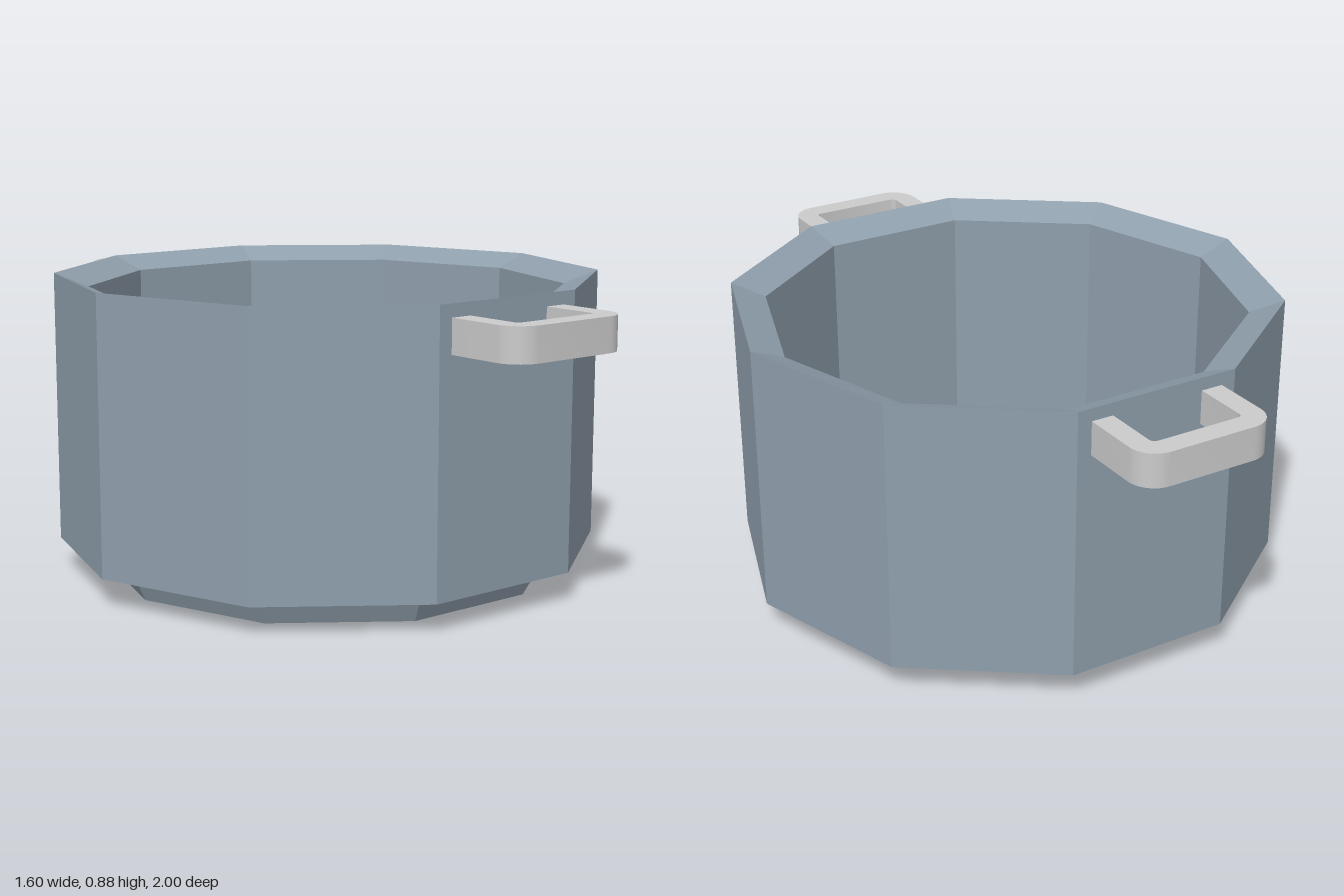
import * as THREE from 'three';
import { toCreasedNormals } from 'three/addons/utils/BufferGeometryUtils.js';

const SIDES = 10;

// Ten-sided pot: foot, outer wall, inward-sloping rim, inner wall and floor
function makePot() {
  const profile = [
    [0, 0], [0.66, 0], [0.7, 0.085], [0.8, 0.085], [0.8, 0.88],
    [0.7, 0.84], [0.7, 0.1], [0, 0.1],
  ].map(([r, y]) => new THREE.Vector2(r, y));
  const geometry = new THREE.LatheGeometry(profile, SIDES, Math.PI / 2);
  const material = new THREE.MeshStandardMaterial({ color: 0x8f9fac, flatShading: true });
  const pot = new THREE.Mesh(geometry, material);
  pot.name = 'pot';
  return pot;
}

// U-shaped grip drawn from above (shape y becomes z), with rounded corners
function makeHandleGeometry() {
  const w = 0.205, t = 0.065, end = 1, start = 0.75;
  const outer = 0.075, inner = 0.015;
  const wi = w - t, endI = end - t;
  const s = new THREE.Shape();
  s.moveTo(w, start);
  s.lineTo(w, end - outer);
  s.absarc(w - outer, end - outer, outer, 0, Math.PI / 2, false);
  s.lineTo(-w + outer, end);
  s.absarc(-w + outer, end - outer, outer, Math.PI / 2, Math.PI, false);
  s.lineTo(-w, start);
  s.lineTo(-wi, start);
  s.lineTo(-wi, endI - inner);
  s.absarc(-wi + inner, endI - inner, inner, Math.PI, Math.PI / 2, true);
  s.lineTo(wi - inner, endI);
  s.absarc(wi - inner, endI - inner, inner, Math.PI / 2, 0, true);
  s.lineTo(wi, start);
  s.closePath();
  const geometry = new THREE.ExtrudeGeometry(s, { depth: 0.097, bevelEnabled: false, curveSegments: 6 });
  geometry.rotateX(Math.PI / 2).translate(0, 0.843, 0);
  return toCreasedNormals(geometry, 0.6);
}

export function createModel() {
  const model = new THREE.Group();
  model.name = 'cookingPot';
  model.add(makePot());

  // Matching handles at front and back
  const geometry = makeHandleGeometry();
  const material = new THREE.MeshStandardMaterial({ color: 0xcccccc });
  ['frontHandle', 'backHandle'].forEach((name, i) => {
    const handle = new THREE.Mesh(geometry, material);
    handle.name = name;
    handle.rotation.y = i * Math.PI;
    model.add(handle);
  });
  return model;
}
